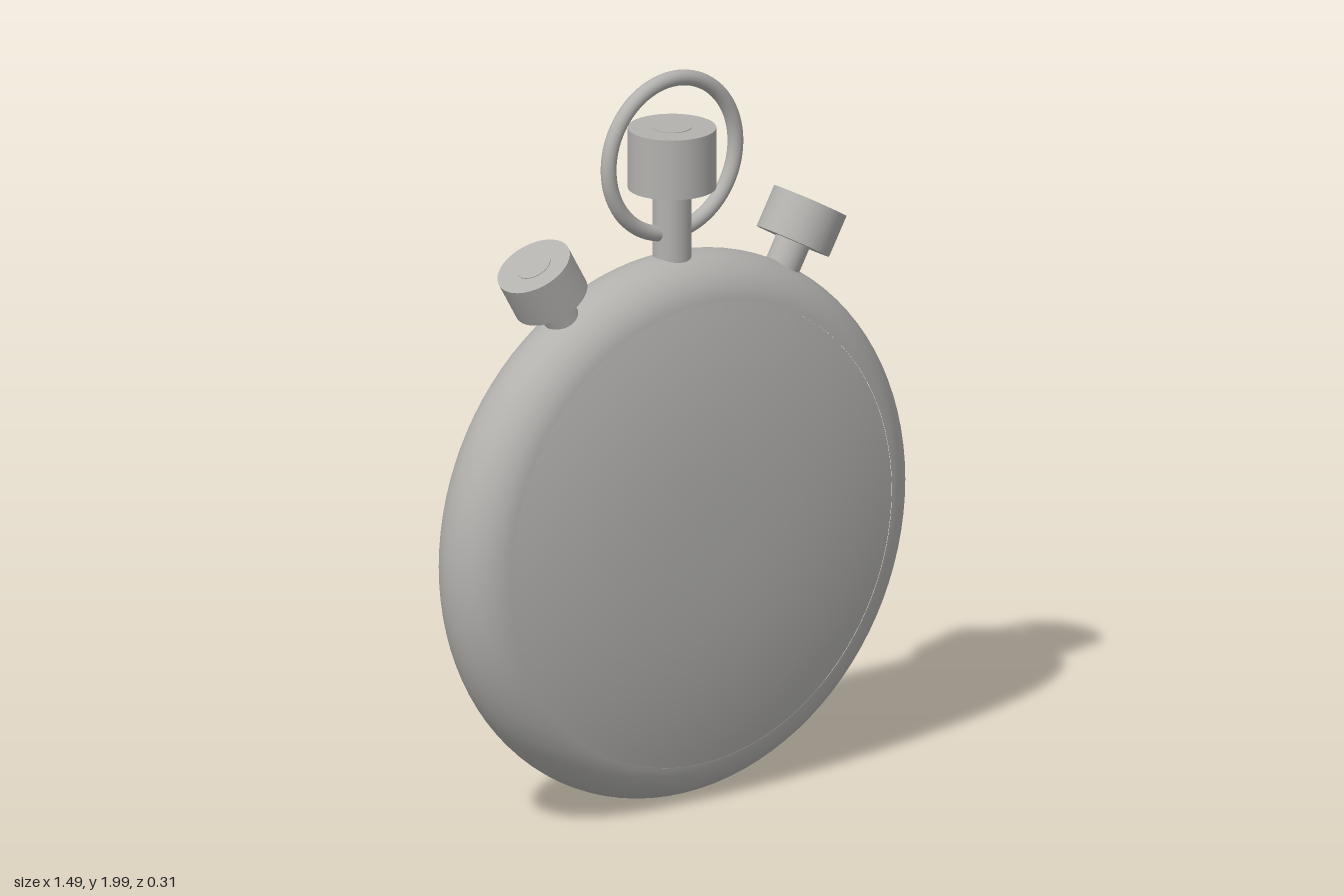
import * as THREE from 'three';

const CENTER_Y = 0.75; // middle of the case
const MID_Z = -0.035; // plane of the rim, buttons and ring

export function createModel() {
  const group = new THREE.Group();
  const metal = new THREE.MeshStandardMaterial({ color: 0xb2b1ae });
  metal.name = 'brushed metal';

  const add = (parent, name, geometry, x = 0, y = 0, z = 0) => {
    const mesh = new THREE.Mesh(geometry, metal);
    mesh.name = name;
    mesh.position.set(x, y, z);
    parent.add(mesh);
    return mesh;
  };
  // Lathe around the z axis, profile given as (radius, z) from back to front
  const latheZ = (points) => new THREE.LatheGeometry(points, 96).rotateX(Math.PI / 2);

  // Rounded case rim, cut flat at the back
  const ringR = 0.615, tube = 0.13;
  const rim = [];
  const start = -Math.asin(0.122 / tube), end = Math.acos(0.02 / tube);
  for (let i = 0; i <= 28; i++) {
    const a = start + (end - start) * i / 28;
    rim.push(new THREE.Vector2(ringR + tube * Math.cos(a), MID_Z + tube * Math.sin(a)));
  }
  add(group, 'caseRim', latheZ(rim), 0, CENTER_Y);

  // Flat back plate
  add(group, 'backPlate', new THREE.CircleGeometry(rim[0].x, 96).rotateY(Math.PI), 0, CENTER_Y, rim[0].y);

  // Domed front cover, steeper towards its edge
  const dome = [];
  for (let i = 0; i <= 20; i++) {
    const t = 1 - i / 20;
    dome.push(new THREE.Vector2(0.635 * t, 0.157 - 0.065 * Math.pow(t, 2.5)));
  }
  add(group, 'frontCover', latheZ(dome), 0, CENTER_Y);

  // Push button: a cap on a stem whose end shows in the cap's top
  const button = (name, angle, stemR, capR, bottom, top) => {
    const part = new THREE.Group();
    part.name = name;
    part.position.set(0, CENTER_Y, MID_Z);
    part.rotation.z = angle;
    const stemTop = top + 0.002;
    add(part, 'stem', new THREE.CylinderGeometry(stemR, stemR, stemTop - 0.7, 32), 0, (stemTop + 0.7) / 2);
    add(part, 'cap', new THREE.CylinderGeometry(capR, capR, top - bottom, 48), 0, (top + bottom) / 2);
    group.add(part);
  };
  button('crown', 0, 0.052, 0.117, 0.93, 1.095);
  for (const side of [1, -1]) {
    button(side > 0 ? 'leftButton' : 'rightButton', -side * Math.PI / 6, 0.048, 0.104, 0.808, 0.925);
  }

  // Hanging ring
  add(group, 'hangingRing', new THREE.TorusGeometry(0.212, 0.021, 20, 80), 0, 1.767, MID_Z);

  return group;
}
